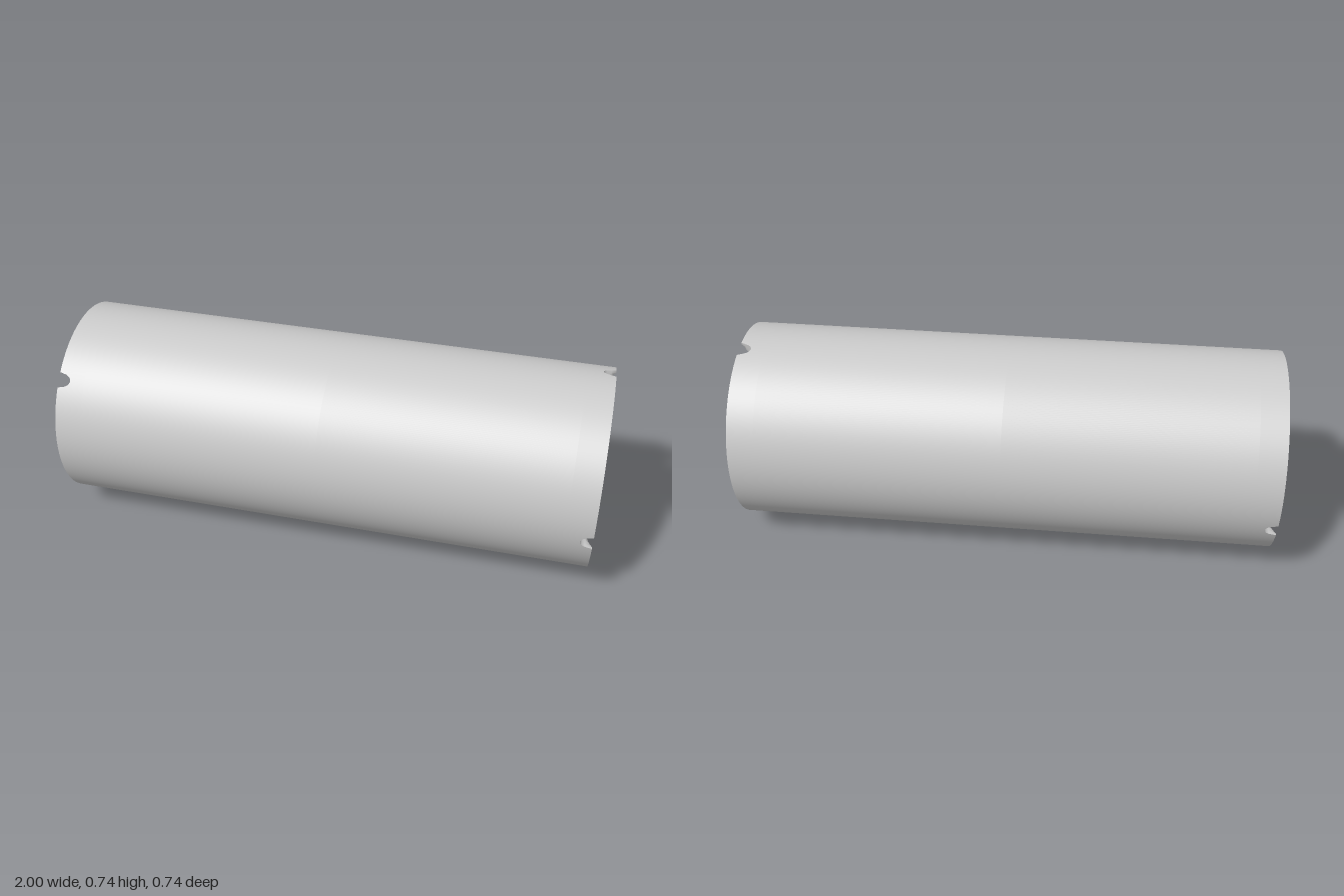
import * as THREE from 'three';

const R = 0.37, SEG = 360;
const material = new THREE.MeshStandardMaterial({ color: 0xcccccc, side: THREE.DoubleSide });
const deg = Math.PI / 180;

// Angles (degrees, from +z towards +y) of the notches and of the faint creases in each end
const ENDS = {
  right: { side: 1, notches: [-9.5, 103, -95], creases: [-17, 133, 78, -90] },
  left: { side: -1, notches: [41.5, -162.5], creases: [-85, 110, -20, 170] },
};

// Arc distance at radius R between a point and the spoke at a given angle
function arc(y, z, angle) {
  const d = Math.atan2(y, z) - angle * deg;
  return Math.abs(Math.atan2(Math.sin(d), Math.cos(d))) * R;
}

// How far the rounded notches may let a surface reach along x
function limit(end, y, z) {
  let cut = 0;
  for (const a of end.notches) {
    const t = arc(y, z, a) / 0.028;
    if (t < 1) cut = Math.max(cut, 0.045 * Math.sqrt(1 - t * t));
  }
  return 1 - cut;
}

// Surface of revolution about x from [x, radius] pairs
function turned(profile) {
  const g = new THREE.LatheGeometry(profile.map(([x, r]) => new THREE.Vector2(r, x)), SEG);
  return g.rotateZ(-Math.PI / 2);
}

// Change only the x of every vertex by a rule
function moveX(g, rule) {
  const p = g.attributes.position;
  for (let i = 0; i < p.count; i++) p.setX(i, rule(p.getX(i), p.getY(i), p.getZ(i)));
  return g;
}

function add(group, name, geometry) {
  const mesh = new THREE.Mesh(geometry, material);
  mesh.name = name;
  group.add(mesh);
}

export function createModel() {
  const group = new THREE.Group();
  group.name = 'notchedCylinder';

  // Outer wall, its edges cut by the notches
  const wall = turned([[-1, R], [-0.9, R], [0, R], [0.9, R], [1, R]]);
  add(group, 'outerWall', moveX(wall, (x, y, z) => {
    if (x > 0.95) return limit(ENDS.right, y, z);
    if (x < -0.95) return -limit(ENDS.left, y, z);
    return x;
  }));

  for (const [name, end] of Object.entries(ENDS)) {
    const s = end.side;
    const order = (list) => (s > 0 ? list : list.reverse());

    // Rim sloping in to the recessed cap
    const rim = turned(order([
      [1, R], [1, 0.363], [0.993, 0.355], [0.983, 0.34], [0.974, 0.325], [0.968, 0.314], [0.96, 0.307],
    ].map(([x, r]) => [s * x, r])));
    moveX(rim, (x, y, z) => s * Math.min(s * x, limit(end, y, z)));
    rim.computeVertexNormals();
    add(group, name + 'Rim', rim);

    // Cap with shallow creases that fade towards the centre
    const cap = turned(order([0.307, 0.25, 0.18, 0.1, 0.04, 0].map((r) => [s * 0.96, r])));
    moveX(cap, (x, y, z) => {
      const r = Math.hypot(y, z) / 0.307;
      let dip = 0;
      for (const a of [...end.notches, ...end.creases]) {
        dip = Math.max(dip, 0.006 * r * Math.max(0, 1 - arc(y, z, a) / 0.025));
      }
      return x - s * dip;
    });
    cap.computeVertexNormals();
    add(group, name + 'Cap', cap);
  }

  group.position.y = R;
  return group;
}
